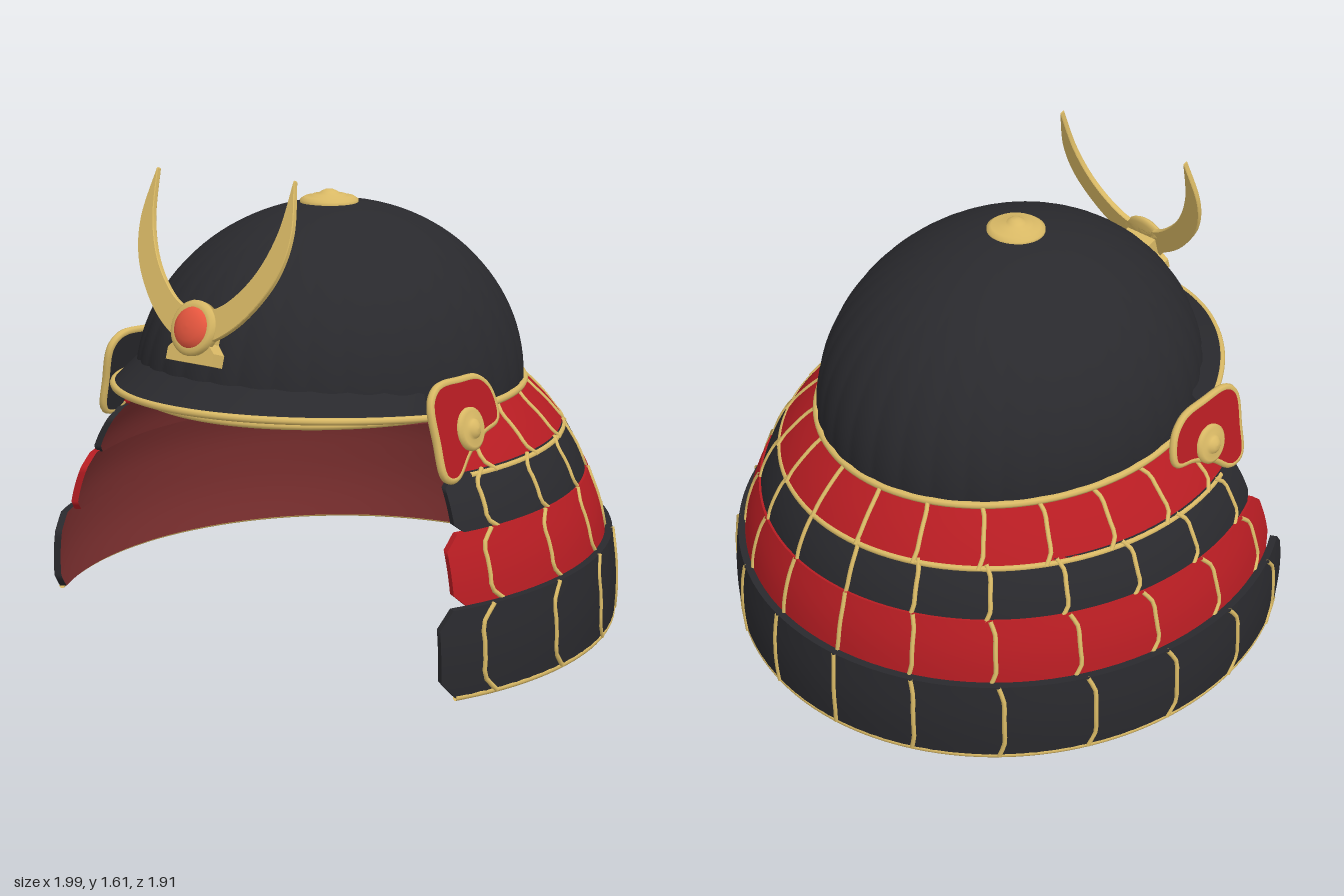
import * as THREE from 'three';
import { ParametricGeometry } from 'three/addons/geometries/ParametricGeometry.js';

const paint = (color) => new THREE.MeshStandardMaterial({ color, side: THREE.DoubleSide });
const V = (x, y, z) => new THREE.Vector3(x, y, z);
const lerp = THREE.MathUtils.lerp;
const ZC = 0.1; // shared centre of dome and neck guard

export function createModel() {
  const black = paint(0x29292d), red = paint(0xb51c22), gold = paint(0xd9b965);
  const lining = paint(0x7d3030), gem = paint(0xe8573f);
  const model = new THREE.Group();

  const add = (parent, name, geometry, material) => {
    const mesh = new THREE.Mesh(geometry, material);
    mesh.name = name;
    parent.add(mesh);
    return mesh;
  };
  const group = (parent, name) => {
    const g = new THREE.Group();
    g.name = name;
    parent.add(g);
    return g;
  };
  const sheet = (f, nu, nv) => new ParametricGeometry((u, v, p) => p.copy(f(u, v)), nu, nv);
  // Tube along a function of 0..1
  const cord = (f, n, r, closed = false) => {
    const pts = Array.from({ length: n + 1 }, (_, i) => f(i / n));
    if (closed) pts.pop();
    return new THREE.TubeGeometry(new THREE.CatmullRomCurve3(pts, closed), n * 2, r, 8, closed);
  };
  // Point on an ellipse, angle measured from the back
  const ring = (a, rx, rz, y) => V(rx * Math.sin(a), y, ZC - rz * Math.cos(a));
  const lathe = (pts) => new THREE.LatheGeometry(pts.map((p) => new THREE.Vector2(...p)), 32);

  // Ribbed dome
  const rimY = (a) => 0.835 - 0.012 * Math.cos(a);
  const dome = (u, v) => {
    const a = (u * 2 - 1) * Math.PI, p = v * Math.PI / 2;
    const s = Math.sin(p) * (1 + 0.008 * v * (Math.abs(Math.cos(a * 18)) - 0.5));
    return ring(a, 0.64 * s, 0.73 * s, lerp(rimY(a), 1.46, Math.cos(p)));
  };
  add(model, 'dome', sheet(dome, 216, 28), black);
  add(model, 'domeLining', sheet((u, v) => {
    const a = (u * 2 - 1) * Math.PI, p = v * Math.PI / 2, s = Math.sin(p);
    return ring(a, 0.6 * s, 0.69 * s, lerp(0.79 - 0.05 * Math.cos(a), 1.42, Math.cos(p)));
  }, 64, 16), lining);
  add(model, 'domeRim', cord((t) => {
    const a = t * Math.PI * 2;
    return ring(a, 0.643, 0.733, rimY(a));
  }, 60, 0.013, true), gold);

  // Gold boss on the crown
  add(model, 'crownBoss', lathe([[0.1, 0], [0.1, 0.012], [0.085, 0.022], [0.06, 0.022], [0.055, 0.03],
    [0.035, 0.03], [0.03, 0.038], [0.015, 0.045], [0, 0.046]]), gold).position.set(0, 1.45, 0.115);

  // Visor: sloping crescent around the front with a gold edge
  const visor = (u, v, drop = 0) => {
    const t = u * 2 - 1, a = Math.PI + t * 1.18, k = t * t;
    return ring(a, lerp(0.61, 0.67, v), lerp(0.7, 0.845, v),
      lerp(0.97 - 0.02 * k, 0.9 - 0.045 * k, v) - drop);
  };
  const visorGroup = group(model, 'visor');
  add(visorGroup, 'visorTop', sheet((u, v) => visor(u, v), 48, 4), black);
  add(visorGroup, 'visorUnderside', sheet((u, v) => visor(1 - u, v, 0.025 - 0.01 * v), 48, 4), black);
  [0, 1].forEach((e) => add(visorGroup, 'visorEnd', sheet((u, v) => visor(e, v, u * 0.02), 1, 4), black));
  add(visorGroup, 'visorEdge', cord((t) => visor(t, 1, 0.005), 40, 0.012), gold);

  // Neck guard: four overlapping bands, open at the front
  const tiers = [
    { top: [0.635, 0.725, 0.83], low: [0.79, 0.875, 0.67], end: 1.93, mat: red },
    { top: [0.78, 0.86, 0.685], low: [0.87, 0.945, 0.51], end: 2.01, mat: black },
    { top: [0.875, 0.95, 0.52], low: [0.945, 1.01, 0.3], end: 2.06, mat: red },
    { top: [0.972, 1.035, 0.31], low: [0.99, 1.045, 0.02], end: 2.13, mat: black },
  ];
  const guard = group(model, 'neckGuard');
  tiers.forEach(({ top, low, end, mat }, i) => {
    const tier = group(guard, 'neckGuardTier' + (i + 1));
    // t runs -1..1 around the band, v down it, d inward
    const P = (t, v, d) => {
      const cut = 0.05 * Math.max(0, (Math.abs(2 * v - 1) - 0.6) / 0.4); // clipped corners
      const a = t * (end - cut), bulge = 0.01 * Math.sin(Math.PI * v) - d;
      const tilt = i === 3 ? -0.012 * v * Math.cos(a) : 0;
      return ring(a, lerp(top[0], low[0], v) + bulge, lerp(top[1], low[1], v) + bulge,
        lerp(top[2], low[2], v) + tilt);
    };
    const D = 0.025;
    add(tier, 'bandOutside', sheet((u, v) => P(u * 2 - 1, v, 0), 72, 10), mat);
    add(tier, 'bandInside', sheet((u, v) => P(1 - u * 2, v, D), 72, 10), lining);
    add(tier, 'bandTop', sheet((u, v) => P(u * 2 - 1, 0, D * (1 - v)), 72, 1), mat);
    add(tier, 'bandBottom', sheet((u, v) => P(u * 2 - 1, 1, D * v), 72, 1), mat);
    add(tier, 'bandEnd', sheet((u, v) => P(1, v, D * u), 1, 10), mat);
    add(tier, 'bandEnd', sheet((u, v) => P(-1, v, D * (1 - u)), 1, 10), mat);
    for (let c = 0; c < 14; c++) {
      const t = (c + 0.5) / 7 - 1;
      add(tier, 'lacing', cord((v) => P(t, v, 0), 5, 0.008), gold);
    }
    if (i === 0 || i === 3) add(tier, 'bandPiping', cord((u) => P(u * 2 - 1, 1, 0.008), 48, 0.011), gold);
  });

  // Turned-back side flaps
  const flapX = (y) => 0.67 + (0.97 - y) * 0.22;
  const outline = new THREE.CatmullRomCurve3([[0.495, 0.92], [0.45, 0.96], [0.33, 0.962], [0.22, 0.95],
    [0.165, 0.9], [0.155, 0.81], [0.24, 0.785], [0.34, 0.74], [0.43, 0.675], [0.485, 0.69], [0.497, 0.8]]
    .map(([z, y]) => V(z, y, 0)), true);
  const flapPoints = outline.getPoints(60);
  const flapShape = new THREE.Shape(flapPoints.slice(0, -1).map((p) => new THREE.Vector2(p.x, p.y)));
  const flapLayer = (offset) => {
    const g = new THREE.ExtrudeGeometry(flapShape, { depth: 0.012, bevelEnabled: false });
    g.rotateY(-Math.PI / 2);
    const p = g.attributes.position;
    for (let i = 0; i < p.count; i++) p.setX(i, p.getX(i) + flapX(p.getY(i)) + offset);
    g.computeVertexNormals();
    return g;
  };
  [1, -1].forEach((side) => {
    const flap = group(model, side > 0 ? 'leftFlap' : 'rightFlap');
    flap.scale.x = side;
    add(flap, 'flapFace', flapLayer(0.012), red);
    add(flap, 'flapBack', flapLayer(0), black);
    add(flap, 'flapEdge', cord((t) => {
      const p = outline.getPoint(t);
      return V(flapX(p.y), p.y, p.x);
    }, 44, 0.014, true), gold);
    const rosette = add(flap, 'rosette', lathe([[0.07, 0], [0.07, 0.012], [0.058, 0.02], [0.035, 0.016],
      [0.03, 0.026], [0.016, 0.035], [0, 0.037]]), gold);
    rosette.position.set(flapX(0.81) + 0.01, 0.81, 0.325);
    rosette.rotation.z = -Math.PI / 2 + 0.22;
  });

  // Crescent crest, leaning back
  const crest = group(model, 'crest');
  crest.position.set(0, 1.13, 0.815);
  crest.rotation.x = -0.32;
  const v2 = (x, y) => new THREE.Vector2(x, y);
  const outer = [[0.31, 0.33], [0.283, 0.19], [0.2, 0.063], [0.1, -0.02]];
  const inner = [[0.1, 0.085], [0.2, 0.19], [0.26, 0.33]];
  const mirror = (pts) => pts.map(([x, y]) => v2(-x, y)).reverse();
  const horns = new THREE.Shape();
  horns.moveTo(-0.282, 0.495);
  horns.splineThru([...outer.map(([x, y]) => v2(-x, y)), v2(0, -0.05),
    ...[...outer].reverse().map(([x, y]) => v2(x, y)), v2(0.282, 0.495)]);
  horns.splineThru([...[...inner].reverse().map(([x, y]) => v2(x, y)), v2(0, 0.055),
    ...mirror([...inner].reverse()), v2(-0.282, 0.495)]);
  add(crest, 'crescent', new THREE.ExtrudeGeometry(horns, {
    depth: 0.014, curveSegments: 40, bevelThickness: 0.003, bevelSize: 0.002, bevelSegments: 1,
  }), gold).position.z = -0.007;
  const foot = new THREE.Shape([v2(-0.095, -0.11), v2(0.095, -0.11), v2(0.095, -0.07), v2(0.065, -0.04),
    v2(0.065, 0.03), v2(-0.065, 0.03), v2(-0.065, -0.04), v2(-0.095, -0.07)]);
  add(crest, 'crestFoot', new THREE.ExtrudeGeometry(foot, { depth: 0.055, bevelEnabled: false }),
    gold).position.z = -0.05;
  const bezel = add(crest, 'crestBezel', lathe([[0, -0.01], [0.088, -0.01], [0.09, 0.015], [0.08, 0.026],
    [0.066, 0.026]]), gold);
  const jewel = add(crest, 'crestJewel', lathe([[0.068, 0.02], [0.064, 0.03], [0.045, 0.041], [0.02, 0.046],
    [0, 0.047]]), gem);
  bezel.rotation.x = jewel.rotation.x = Math.PI / 2;

  return model;
}
